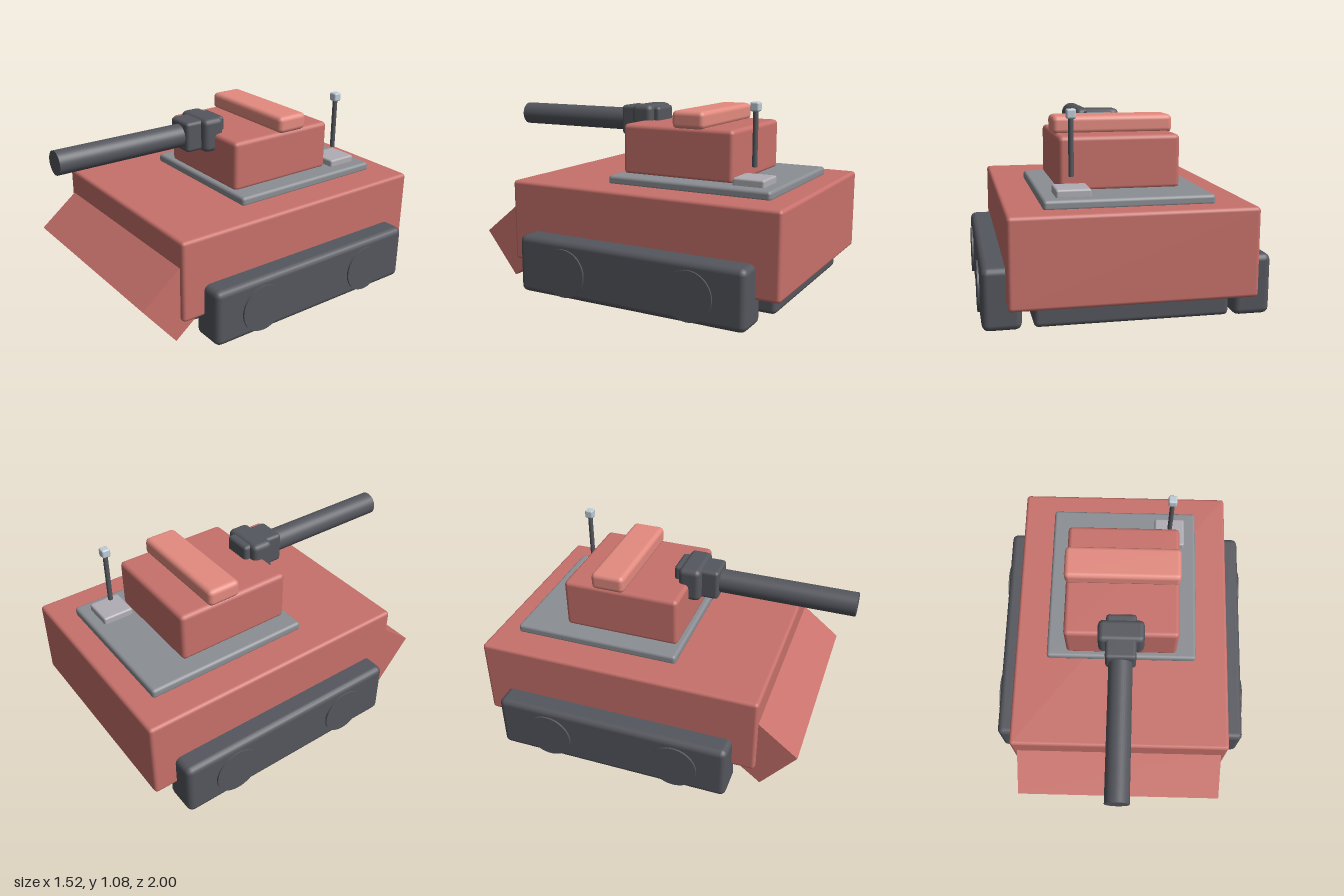
import * as THREE from 'three';
import { RoundedBoxGeometry } from 'three/addons/geometries/RoundedBoxGeometry.js';

const paint = (color) => new THREE.MeshStandardMaterial({ color });

export function createModel() {
  const model = new THREE.Group();
  const red = paint(0xc8716b);
  const lightRed = paint(0xe48b80);
  const dark = paint(0x55575e);
  const grey = paint(0x8b8e93);
  const paleGrey = paint(0xb0aeb4);
  const paleBlue = paint(0xc0ccd6);

  function add(name, geometry, material, x, y, z) {
    const mesh = new THREE.Mesh(geometry, material);
    mesh.name = name;
    mesh.position.set(x, y, z);
    model.add(mesh);
    return mesh;
  }

  // Softly bevelled box given by its extents on each axis
  function block(name, material, [x0, x1], [y0, y1], [z0, z1], bevel) {
    const geometry = new RoundedBoxGeometry(x1 - x0, y1 - y0, z1 - z0, 2, bevel);
    return add(name, geometry, material, (x0 + x1) / 2, (y0 + y1) / 2, (z0 + z1) / 2);
  }

  // Hull and underside
  block('hull', red, [-0.63, 0.63], [0.14, 0.605], [-1, 0.63], 0.02);
  block('undercarriage', dark, [-0.5, 0.5], [0.03, 0.24], [-0.93, 0.57], 0.025);

  // Tilted box forming the wedge-shaped nose
  const nose = add('noseWedge', new THREE.BoxGeometry(1.2, 0.313, 0.32), red, 0, 0.252, 0.632);
  nose.rotation.x = Math.atan2(0.18, 0.225);

  // Tracks with two wheels each
  for (const side of [-1, 1]) {
    const name = side > 0 ? 'left' : 'right';
    block(name + 'Track', dark, side > 0 ? [0.55, 0.75] : [-0.75, -0.55], [0, 0.325], [-0.87, 0.5], 0.035);
    for (const [end, z] of [['Front', 0.2], ['Rear', -0.56]]) {
      const wheel = new THREE.CylinderGeometry(0.135, 0.135, 0.24, 40);
      wheel.rotateZ(Math.PI / 2);
      add(name + end + 'Wheel', wheel, dark, side * 0.64, 0.148, z);
    }
  }

  // Deck plate, turret and hatch bar
  block('deckPlate', grey, [-0.44, 0.44], [0.595, 0.65], [-0.865, 0.105], 0.018);
  block('turret', red, [-0.325, 0.325], [0.64, 0.93], [-0.605, 0.075], 0.025);
  block('hatchBar', lightRed, [-0.332, 0.332], [0.92, 1.02], [-0.432, -0.236], 0.028);

  // Gun: mount, collar and barrel
  block('gunMount', dark, [-0.086, 0.086], [0.835, 1.01], [-0.025, 0.235], 0.02);
  block('gunCollar', dark, [-0.13, 0.13], [0.825, 1.02], [0.01, 0.14], 0.03);
  const barrel = new THREE.CylinderGeometry(0.067, 0.067, 0.85, 40);
  barrel.rotateX(Math.PI / 2);
  add('barrel', barrel, dark, 0, 0.92, 0.575);

  // Aerial
  block('aerialBase', paleGrey, [0.187, 0.368], [0.64, 0.69], [-0.8, -0.62], 0.012);
  add('aerialPole', new THREE.CylinderGeometry(0.014, 0.014, 0.31, 16), dark, 0.277, 0.895, -0.708);
  block('aerialTip', paleBlue, [0.252, 0.302], [1.032, 1.082], [-0.733, -0.683], 0.01);

  return model;
}
